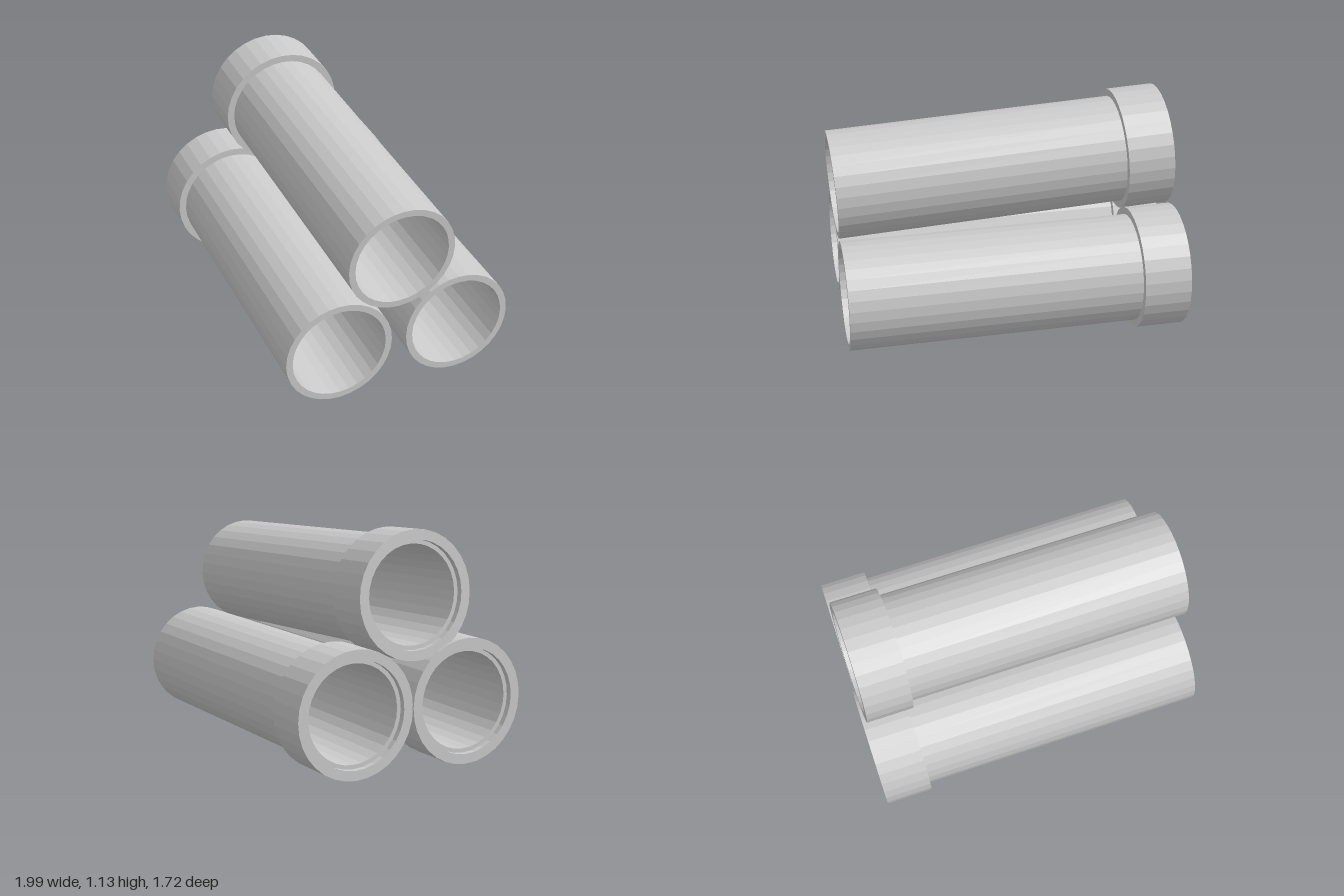
import * as THREE from 'three';

const SIDES = 32;
const R_PIPE = 0.267, R_COLLAR = 0.303, R_BORE = 0.235, R_SOCKET = 0.255;
const COLLAR_LENGTH = 0.232, SOCKET_DEPTH = 0.03;

// Hollow pipe from the collar end to the plain end, as one closed turned profile
function makePipe(name, collarEnd, plainEnd, material) {
  const from = new THREE.Vector3(...collarEnd);
  const axis = new THREE.Vector3(...plainEnd).sub(from);
  const length = axis.length();
  const profile = [
    [R_SOCKET, 0], [R_COLLAR, 0], [R_COLLAR, COLLAR_LENGTH], // collar
    [R_PIPE, COLLAR_LENGTH], [R_PIPE, length], // barrel
    [R_BORE, length], [R_BORE, SOCKET_DEPTH], // bore
    [R_SOCKET, SOCKET_DEPTH], [R_SOCKET, 0], // socket
  ].map(([r, y]) => new THREE.Vector2(r, y));
  const pipe = new THREE.Mesh(new THREE.LatheGeometry(profile, SIDES), material);
  pipe.name = name;
  pipe.position.copy(from);
  pipe.quaternion.setFromUnitVectors(new THREE.Vector3(0, 1, 0), axis.normalize());
  return pipe;
}

export function createModel() {
  const group = new THREE.Group();
  group.name = 'pipeStack';
  const material = new THREE.MeshStandardMaterial({ color: 0xcccccc, flatShading: true });

  // Two pipes side by side on the ground, and one resting on top, slightly tilted
  group.add(
    makePipe('frontPipe', [-0.882, 0.305, -0.03], [0.65, 0.305, 0.614], material),
    makePipe('backPipe', [-0.64, 0.305, -0.582], [0.892, 0.305, 0.062], material),
    makePipe('topPipe', [-0.752, 0.826, -0.28], [0.782, 0.76, 0.343], material),
  );
  return group;
}
